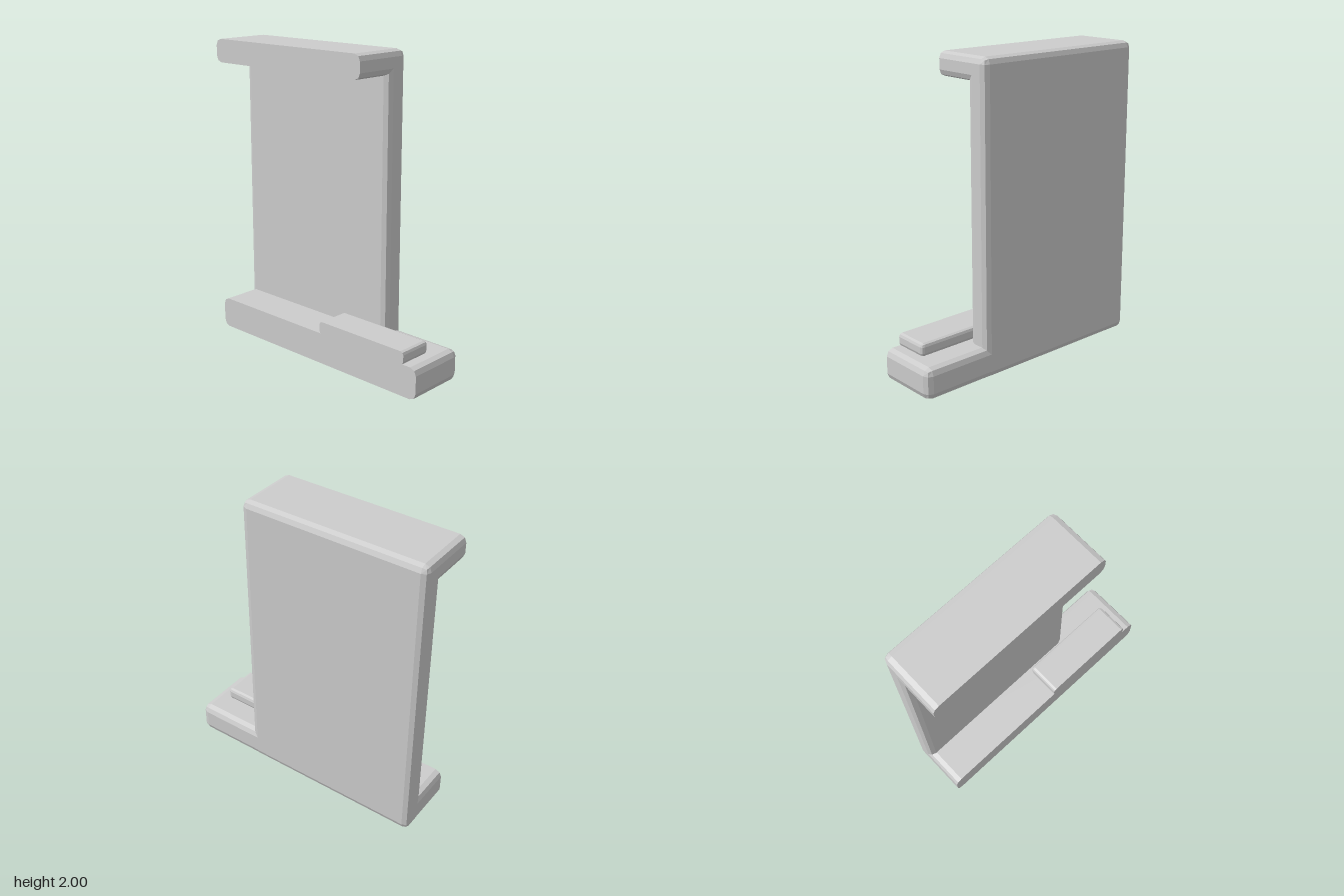
import * as THREE from 'three';
import { RoundedBoxGeometry } from 'three/addons/geometries/RoundedBoxGeometry.js';

const CUT = -0.207; // flat plane where the half frame ends

// Bevelled block given by its min and max corners
function bevelledBlock(name, min, max, radius, material) {
  const size = max.map((v, i) => v - min[i]);
  const geometry = new RoundedBoxGeometry(...size, 1, radius);
  geometry.translate(...max.map((v, i) => (v + min[i]) / 2));

  // Flatten everything beyond the cut plane into a square-edged end
  const position = geometry.attributes.position;
  for (let i = 0; i < position.count; i++) {
    position.setX(i, Math.max(position.getX(i), CUT));
  }
  geometry.computeVertexNormals();

  const mesh = new THREE.Mesh(geometry, material);
  mesh.name = name;
  return mesh;
}

export function createModel() {
  const group = new THREE.Group();
  group.name = 'halfFrame';
  const grey = new THREE.MeshStandardMaterial({ color: 0xcccccc, flatShading: true });
  grey.name = 'grey';

  const right = 0.207, back = -0.858, far = 2 * CUT - right;
  group.add(
    // Upright side panel
    bevelledBlock('sidePanel', [0.05, 0, back], [right, 2, 0.4], 0.042, grey),
    // Overhanging top
    bevelledBlock('topPanel', [far, 1.848, back], [right, 2, 0.4], 0.042, grey),
    // Longer base reaching forward
    bevelledBlock('base', [far, 0, back], [right, 0.205, 0.858], 0.045, grey),
    // Raised pad resting on the base
    bevelledBlock('basePad', [2 * CUT - 0.028, 0.2, 0.07], [0.028, 0.285, 0.76], 0.022, grey),
  );
  return group;
}
